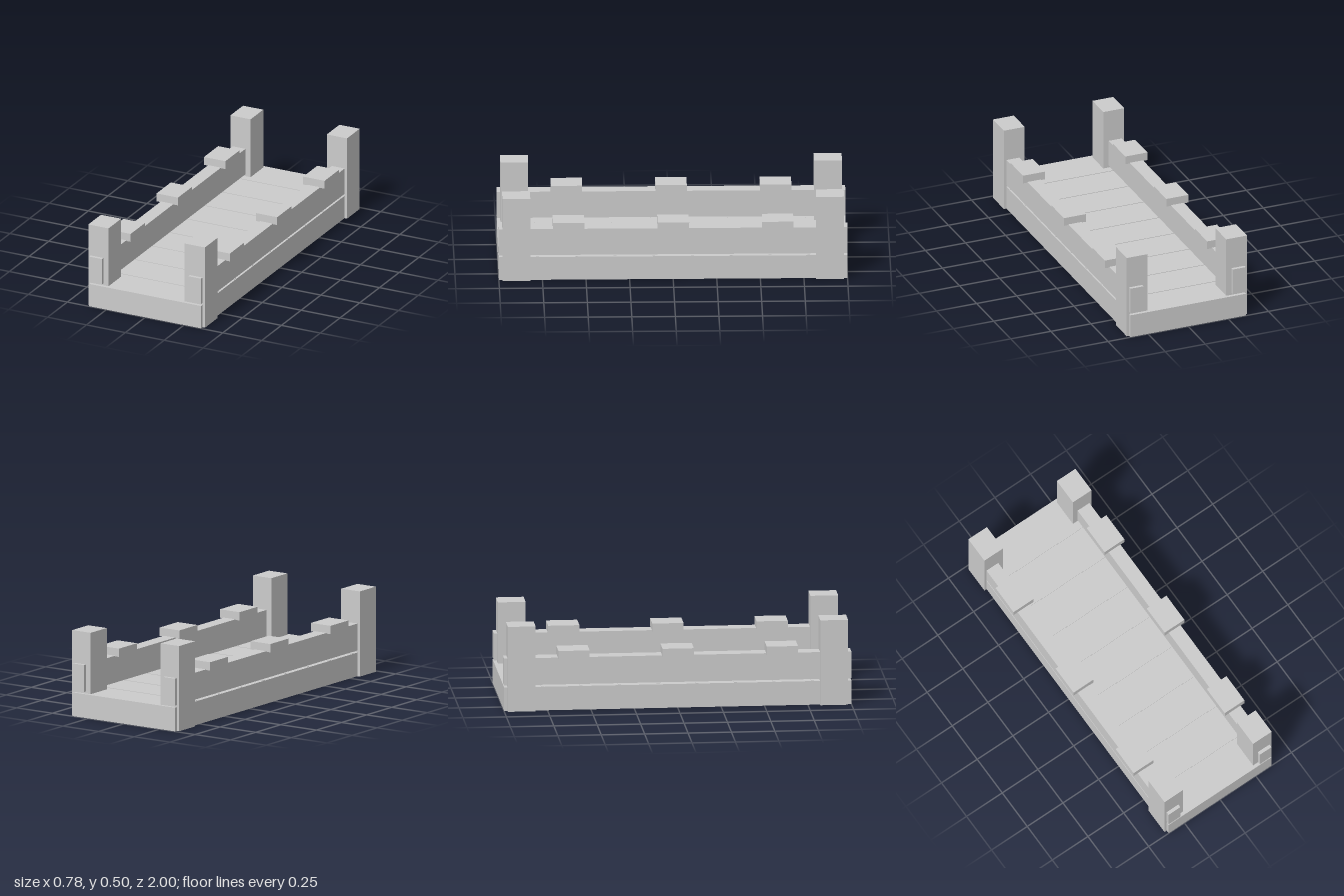
import * as THREE from 'three';

export function createModel() {
  const model = new THREE.Group();
  const material = new THREE.MeshStandardMaterial({ color: 0xcccccc, flatShading: true });

  // Box given by its minimum and maximum corners
  function box(name, [x0, y0, z0], [x1, y1, z1]) {
    const mesh = new THREE.Mesh(new THREE.BoxGeometry(x1 - x0, y1 - y0, z1 - z0), material);
    mesh.position.set((x0 + x1) / 2, (y0 + y1) / 2, (z0 + z1) / 2);
    mesh.name = name;
    model.add(mesh);
  }

  // Same box on the left (+x) and the right (-x)
  function pair(name, [x0, y0, z0], [x1, y1, z1]) {
    box(name + 'Left', [x0, y0, z0], [x1, y1, z1]);
    box(name + 'Right', [-x1, y0, z0], [-x0, y1, z1]);
  }

  // Solid deck
  box('deck', [-0.36, 0.001, -1], [0.36, 0.14, 1]);

  // Thin seam strips across the deck
  const planks = 9;
  for (let i = 1; i < planks; i++) {
    const z = -1 + (2 * i) / planks;
    box('deckSeam', [-0.355, 0.135, z - 0.008], [0.355, 0.143, z + 0.008]);
  }

  // Side rails, floating just above the deck
  pair('sideRail', [0.278, 0.152, -1], [0.36, 0.31, 1]);

  // Corner posts
  for (const z of [-0.9, 0.9]) {
    pair('cornerPost', [0.245, 0, z - 0.08], [0.375, 0.5, z + 0.08]);
  }

  // Flat blocks lying on the rails
  for (const z of [-0.6, 0, 0.6]) {
    pair('railBlock', [0.25, 0.306, z - 0.09], [0.388, 0.355, z + 0.09]);
  }

  return model;
}
